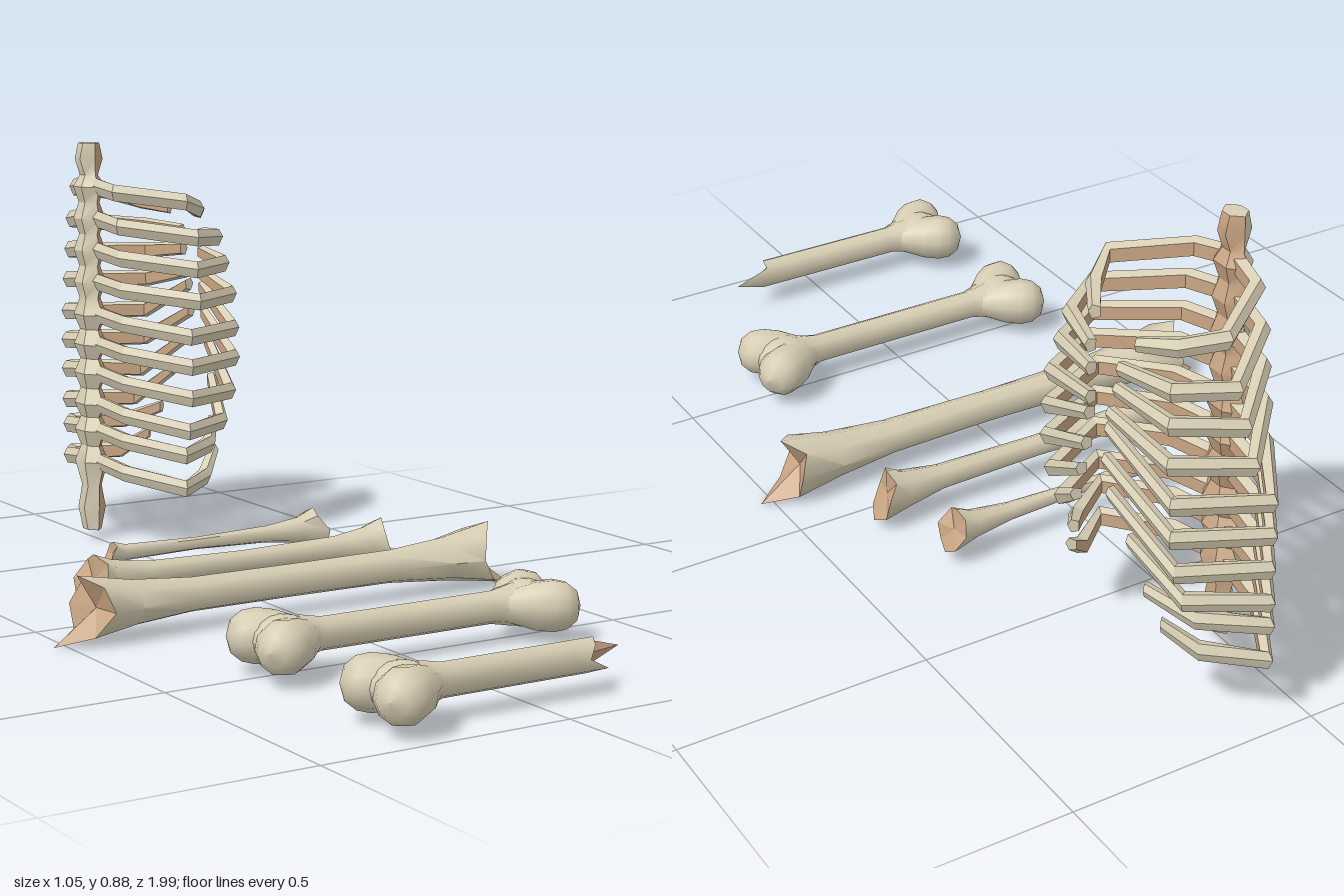
import * as THREE from 'three';
import { toCreasedNormals } from 'three/addons/utils/BufferGeometryUtils.js';

const bone = new THREE.MeshStandardMaterial({ color: 0xd8ceb4 });
bone.name = 'bone cream';
const marrow = new THREE.MeshStandardMaterial({ color: 0xc9a684 });
marrow.name = 'marrow tan';

const V = (x, y, z) => new THREE.Vector3(x, y, z);

function meshOf(points, faces, name, material, crease) {
  const geo = new THREE.BufferGeometry().setFromPoints(points);
  geo.setIndex(faces);
  const mesh = new THREE.Mesh(toCreasedNormals(geo, crease), material);
  mesh.name = name;
  return mesh;
}

// Skin over cross-sections that run counter-clockwise about the path direction
function loft(rings, closed, name, material, crease) {
  const n = rings[0].length, faces = [];
  for (let i = 0; i < rings.length - 1; i++) {
    for (let k = 0; k < (closed ? n : n - 1); k++) {
      const a = i * n + k, b = i * n + (k + 1) % n;
      faces.push(a, b, b + n, a, b + n, a + n);
    }
  }
  return meshOf(rings.flat(), faces, name, material, crease);
}

// Fan from a centre point to a ring; start caps face backwards along the path
function cap(ring, centre, atStart, name, material) {
  const faces = [], n = ring.length;
  for (let k = 0; k < n; k++) {
    const a = 1 + k, b = 1 + (k + 1) % n;
    faces.push(0, atStart ? b : a, atStart ? a : b);
  }
  return meshOf([centre, ...ring], faces, name, material, 0.1);
}

// Eight-sided ring about the x axis, offset per corner by a jagged list
function ringX(x, ry, rz, jag = null, dir = 1) {
  return Array.from({ length: 8 }, (_, k) => {
    const a = k * Math.PI / 4;
    return V(x + (jag ? jag[k] * dir : 0), Math.cos(a) * ry, Math.sin(a) * rz);
  });
}

// Long bone with flared, notched ends and tan end faces
function flaredBone(name, y, z, stations, jag) {
  const g = new THREE.Group();
  g.name = name;
  g.position.set(0, y, z);
  const last = stations.length - 1;
  const rings = stations.map(([x, ry, rz, s = 1], i) =>
    ringX(x, ry, rz, i === 0 || i === last ? jag.map(j => j * s) : null, i === 0 ? -1 : 1));
  g.add(loft(rings, true, 'shaft', bone, 0.9));
  g.add(cap(rings[0], V(stations[0][0] + 0.005, 0, 0), true, 'leftEndFace', marrow));
  g.add(cap(rings[last], V(stations[last][0] - 0.005, 0, 0), false, 'rightEndFace', marrow));
  return g;
}

// Heart-shaped end: two rounded teardrop lobes joined by a bridge
function knob(dir) {
  const g = new THREE.Group();
  g.name = 'knob';
  const profile = [[0, 0.028], [0.03, 0.036], [0.065, 0.047], [0.1, 0.051],
    [0.125, 0.046], [0.145, 0.03], [0.153, 0.0]].map(([h, r]) => new THREE.Vector2(r, h));
  for (const side of [-1, 1]) {
    const lobe = new THREE.Mesh(new THREE.LatheGeometry(profile, 10), bone);
    lobe.name = 'lobe';
    lobe.position.x = dir * 0.21;
    lobe.quaternion.setFromUnitVectors(V(0, 1, 0), V(dir * 0.09, 0, side * 0.05).normalize());
    g.add(lobe);
  }
  const bridge = new THREE.Mesh(new THREE.SphereGeometry(1, 10, 8), bone);
  bridge.name = 'bridge';
  bridge.position.x = dir * 0.268;
  bridge.scale.set(0.062, 0.045, 0.06);
  g.add(bridge);
  return g;
}

function knobbedBone() {
  const g = new THREE.Group();
  g.name = 'knobbedBone';
  g.position.set(0, 0.07, 0.52);
  const rings = [-0.24, -0.19, 0.19, 0.24].map((x, i) =>
    ringX(x, i % 3 ? 0.032 : 0.042, i % 3 ? 0.028 : 0.048));
  g.add(loft(rings, true, 'shaft', bone, 0.9), knob(-1), knob(1));
  return g;
}

function brokenBone() {
  const g = new THREE.Group();
  g.name = 'brokenBone';
  g.position.set(0, 0.07, 0.89);
  const jag = [0.05, 0.04, 0.025, 0.07, 0.035, 0.06, 0.13, 0.05];
  const rings = [ringX(-0.24, 0.042, 0.048), ringX(-0.19, 0.032, 0.028),
    ringX(0.08, 0.032, 0.028), ringX(0.085, 0.032, 0.028, jag)];
  g.add(loft(rings, true, 'shaft', bone, 0.9), knob(-1));
  g.add(cap(rings[3], V(0.09, 0, 0), false, 'brokenFace', marrow));
  return g;
}

// Ribs: spine y, mid y, end y, half depth, mid x, end x, tip x, tip y, tip depth
const RIBS = [
  [0.785, 0.757, 0.735, 0.18, 0.14, 0.20, 0.24, 0.722, 0.065],
  [0.715, 0.682, 0.674, 0.22, 0.145, 0.23, 0.26, 0.672, 0.045],
  [0.645, 0.615, 0.617, 0.235, 0.135, 0.24, 0.262, 0.63, 0.04],
  [0.575, 0.548, 0.55, 0.255, 0.13, 0.25, 0.268, 0.58, 0.03],
  [0.503, 0.475, 0.476, 0.27, 0.10, 0.25, 0.27, 0.55, 0.03],
  [0.437, 0.41, 0.411, 0.273, 0.10, 0.25, 0.275, 0.49, 0.03],
  [0.373, 0.342, 0.338, 0.273, 0.10, 0.24, 0.275, 0.43, 0.045],
  [0.305, 0.27, 0.272, 0.27, 0.095, 0.22, 0.26, 0.35, 0.085],
  [0.245, 0.217, 0.222, 0.265, 0.09, 0.19, 0.245, 0.26, 0.115],
  [0.175, 0.145, 0.152, 0.265, 0.09, 0.18, 0.23, 0.198, 0.145],
];
// Rib section as [outward, up], from inner top round the outside to inner bottom
const RIB_SECTION = [[-0.013, 0.013], [0.006, 0.018], [0.015, 0.002], [0.006, -0.018], [-0.013, -0.013]];

function rib([y0, y2, y3, depth, x2, x3, xt, yt, zt], side) {
  const g = new THREE.Group();
  g.name = side > 0 ? 'frontRib' : 'backRib';
  const path = [V(0, y0 + 0.005, 0.01), V(0.015, (y0 + y2) / 2 + 0.005, depth * 0.5),
    V(x2, y2, depth), V(x3, y3, depth * 0.72), V(xt, yt, zt)];
  const rings = path.map((p, i) => {
    const t = path[Math.min(i + 1, 4)].clone().sub(path[Math.max(i - 1, 0)]).setY(0).normalize();
    const size = i === 4 ? 0.75 : 1;
    const ring = RIB_SECTION.map(([n, u]) =>
      V(p.x - t.z * n * size, p.y + u * size, side * (p.z + t.x * n * size)));
    return side > 0 ? ring : ring.reverse();
  });
  const centre = V(path[4].x, path[4].y, side * path[4].z);
  g.add(loft(rings, false, 'ribOuter', bone, 0.3));
  g.add(loft(rings.map(r => [r[4], r[0]]), false, 'ribInner', marrow, 0.3));
  g.add(cap(rings[4], centre, false, 'ribTip', bone));
  return g;
}

function ribCage() {
  const g = new THREE.Group();
  g.name = 'ribCage';
  g.position.z = -0.712;
  // Spine stations: height, half width, half depth; it widens where ribs join
  const stations = [[0.02, 0.017, 0.03], [0.07, 0.027, 0.034], [0.12, 0.017, 0.035]];
  for (let i = RIBS.length - 1; i >= 0; i--) {
    const y = RIBS[i][0];
    stations.push([y, 0.029, i > 3 ? 0.058 : 0.048]);
    if (i > 0) stations.push([(y + RIBS[i - 1][0]) / 2, 0.018, 0.036]);
  }
  stations.push([0.81, 0.016, 0.03], [0.845, 0.028, 0.03], [0.88, 0.02, 0.029]);
  const rings = stations.map(([y, a, b]) => [V(0, y, b), V(a, y, b * 0.4), V(a, y, -b * 0.4),
    V(0, y, -b), V(-a, y, -b * 0.4), V(-a, y, b * 0.4)]);
  g.add(loft(rings.map(r => r.slice(0, 4)), false, 'spineInner', marrow, 0.6));
  g.add(loft(rings.map(r => [r[3], r[4], r[5], r[0]]), false, 'spineOuter', bone, 0.6));
  g.add(cap(rings[0], V(0, 0.02, 0), true, 'spineBottom', bone));
  g.add(cap(rings[rings.length - 1], V(0, 0.88, 0), false, 'spineTop', bone));
  for (const row of RIBS) for (const side of [1, -1]) g.add(rib(row, side));
  return g;
}

export function createModel() {
  const model = new THREE.Group();
  model.name = 'boneCollection';
  model.add(brokenBone(), knobbedBone(), ribCage());

  model.add(flaredBone('largeLongBone', 0.067, 0.125, [
    [-0.44, 0.066, 0.062], [-0.36, 0.045, 0.053], [-0.23, 0.034, 0.038], [0, 0.033, 0.032],
    [0.23, 0.034, 0.038], [0.36, 0.045, 0.053], [0.44, 0.066, 0.062],
  ], [0.035, 0.0, -0.015, 0.02, 0.085, 0.02, 0.02, 0.0]));

  model.add(flaredBone('mediumLongBone', 0.069, -0.065, [
    [-0.345, 0.053, 0.046], [-0.3, 0.038, 0.038], [-0.22, 0.026, 0.025], [0, 0.022, 0.021],
    [0.22, 0.026, 0.025], [0.3, 0.038, 0.038], [0.345, 0.053, 0.046],
  ], [-0.005, -0.02, -0.015, 0.01, 0.025, 0.015, 0.015, -0.01]));

  model.add(flaredBone('smallLongBone', 0.072, -0.248, [
    [-0.205, 0.025, 0.023, 0.6], [-0.17, 0.017, 0.016], [0, 0.013, 0.012],
    [0.17, 0.018, 0.018], [0.25, 0.028, 0.028], [0.298, 0.045, 0.038],
  ], [-0.01, -0.015, 0.01, 0.01, 0.016, 0.01, -0.01, -0.015]));

  return model;
}
